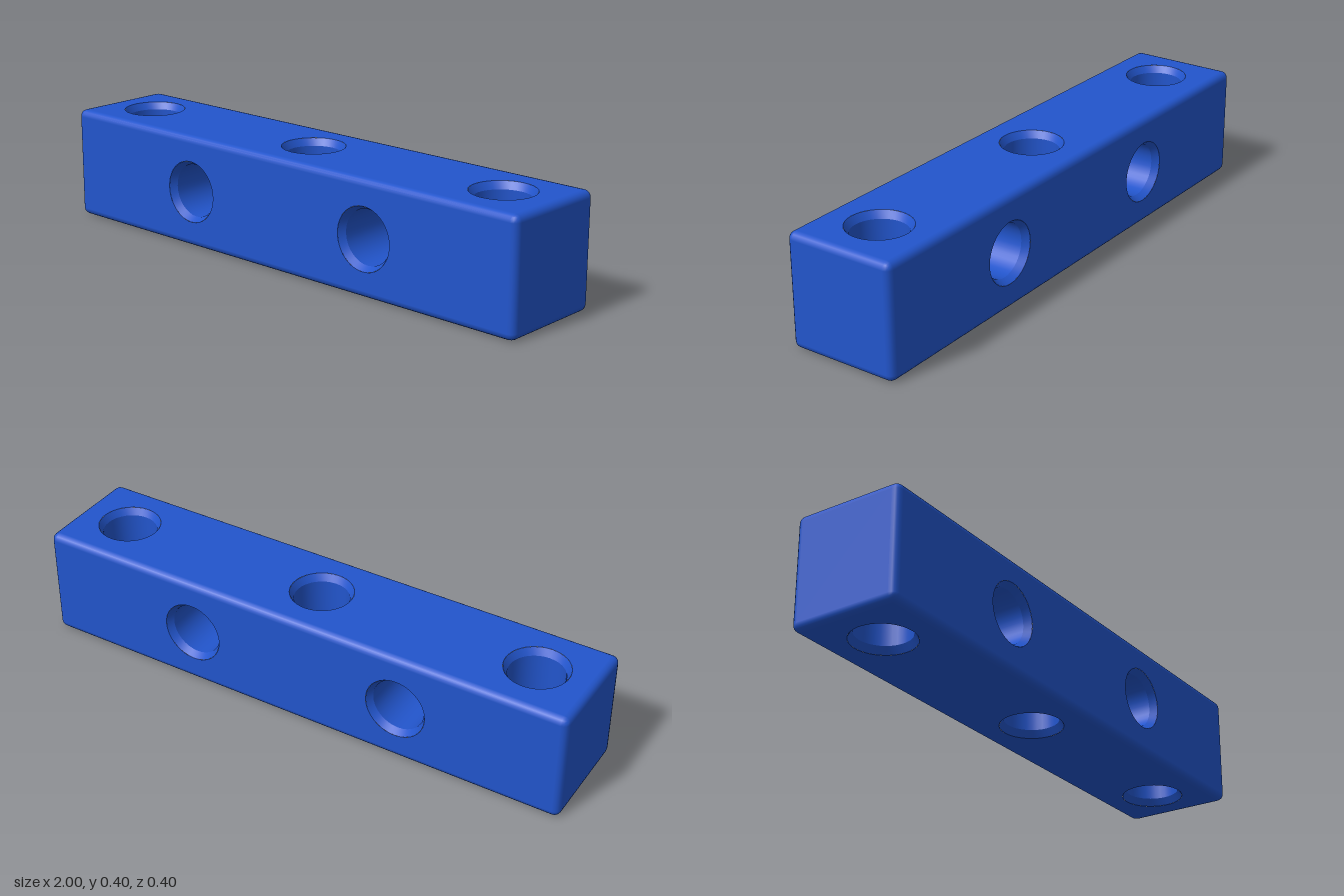
import * as THREE from 'three';
import { RoundedBoxGeometry } from 'three/addons/geometries/RoundedBoxGeometry.js';
import { toCreasedNormals } from 'three/addons/utils/BufferGeometryUtils.js';

const LENGTH = 2, HALF = 0.2, BEVEL = 0.025;
const BORE = 0.095, RIM = 0.11, RIM_DEPTH = 0.025, SIDES = 32;
const TOP_HOLES = [-0.8, 0, 0.8];
const FRONT_HOLES = [-0.4, 0.4];

// Rounded bar with its four long flat faces removed, ready for drilled panels
function barShell() {
  const box = new RoundedBoxGeometry(LENGTH, HALF * 2, HALF * 2, 2, BEVEL);
  const source = box.index ? box.toNonIndexed() : box;
  const p = source.attributes.position, n = source.attributes.normal;
  const positions = [], normals = [];
  for (let i = 0; i < p.count; i += 3) {
    const corners = [i, i + 1, i + 2];
    const flat = ['getY', 'getZ'].some((axis) =>
      [1, -1].some((side) => corners.every((c) => Math.abs(p[axis](c) - side * HALF) < 1e-4)));
    if (flat) continue;
    for (const c of corners) {
      positions.push(p.getX(c), p.getY(c), p.getZ(c));
      normals.push(n.getX(c), n.getY(c), n.getZ(c));
    }
  }
  const shell = new THREE.BufferGeometry();
  shell.setAttribute('position', new THREE.Float32BufferAttribute(positions, 3));
  shell.setAttribute('normal', new THREE.Float32BufferAttribute(normals, 3));
  return shell;
}

// Flat long face with round holes, facing +z
function drilledPanel(holes) {
  const w = LENGTH / 2 - BEVEL, h = HALF - BEVEL;
  const shape = new THREE.Shape();
  shape.moveTo(-w, -h).lineTo(w, -h).lineTo(w, h).lineTo(-w, h).closePath();
  for (const x of holes) {
    shape.holes.push(new THREE.Path().absarc(x, 0, RIM, 0, Math.PI * 2, true));
  }
  return new THREE.ShapeGeometry(shape, SIDES).translate(0, 0, HALF);
}

// Through hole with a chamfered rim at both ends, surface facing its axis
function holeWall() {
  const profile = [
    [RIM, HALF], [BORE, HALF - RIM_DEPTH], [BORE, RIM_DEPTH - HALF], [RIM, -HALF],
  ].map(([r, y]) => new THREE.Vector2(r, y));
  return toCreasedNormals(new THREE.LatheGeometry(profile, SIDES), 0.4);
}

export function createModel() {
  const model = new THREE.Group();
  model.name = 'drilledBeam';
  const material = new THREE.MeshStandardMaterial({ color: 0x2255cc });
  const add = (name, geometry) => {
    const mesh = new THREE.Mesh(geometry, material);
    mesh.name = name;
    mesh.position.y = HALF;
    model.add(mesh);
    return mesh;
  };

  // Ends and rounded edges
  add('roundedEdges', barShell());

  // Four long faces
  const sidePanel = drilledPanel(FRONT_HOLES), flatPanel = drilledPanel(TOP_HOLES);
  add('frontFace', sidePanel);
  add('backFace', sidePanel).rotation.y = Math.PI;
  add('topFace', flatPanel).rotation.x = -Math.PI / 2;
  add('bottomFace', flatPanel).rotation.x = Math.PI / 2;

  // Holes through the beam
  const wall = holeWall();
  for (const x of TOP_HOLES) add('verticalHole', wall).position.x = x;
  for (const x of FRONT_HOLES) {
    const hole = add('crossHole', wall);
    hole.position.x = x;
    hole.rotation.x = Math.PI / 2;
  }
  return model;
}
